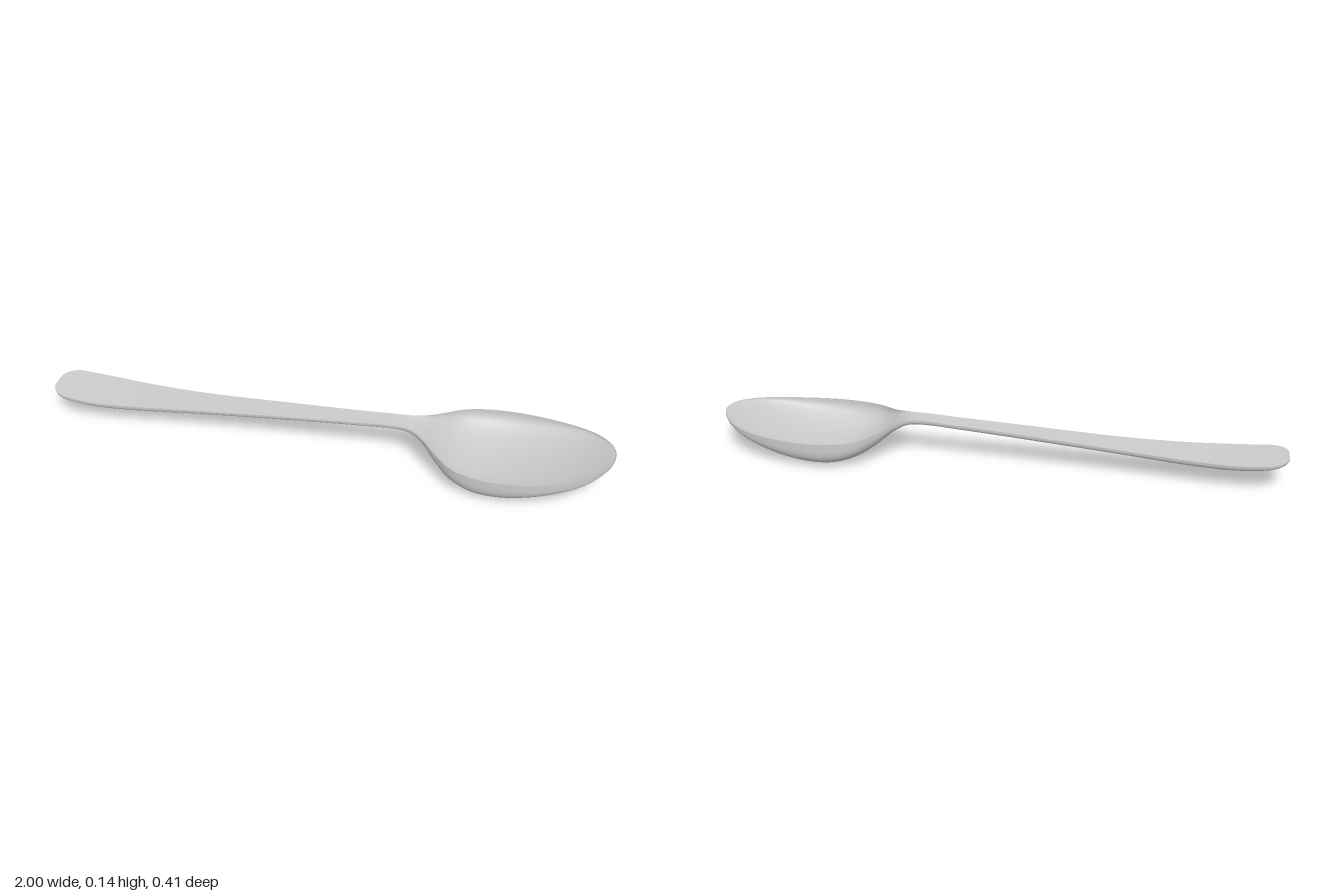
import * as THREE from 'three';

// Stations along the spoon: x, half width, rim height, centre height on top, centre height below, squareness
const STATIONS = [
  [-1.0, 0.0, 0.113, 0.113, 0.1, 3],
  [-1.0, 0.03, 0.113, 0.113, 0.099, 3],
  [-0.985, 0.061, 0.111, 0.111, 0.092, 3],
  [-0.955, 0.083, 0.107, 0.107, 0.083, 3],
  [-0.9, 0.089, 0.101, 0.101, 0.073, 3],
  [-0.8, 0.087, 0.096, 0.096, 0.065, 3],
  [-0.65, 0.073, 0.096, 0.096, 0.066, 3],
  [-0.42, 0.055, 0.105, 0.105, 0.08, 3],
  [-0.1, 0.043, 0.124, 0.124, 0.101, 3],
  [0.12, 0.037, 0.136, 0.136, 0.115, 3],
  [0.24, 0.036, 0.143, 0.142, 0.122, 3],
  [0.31, 0.043, 0.142, 0.137, 0.119, 3],
  [0.36, 0.072, 0.13, 0.112, 0.096, 3],
  [0.41, 0.121, 0.113, 0.073, 0.058, 3.2],
  [0.47, 0.171, 0.102, 0.036, 0.023, 3.5],
  [0.55, 0.198, 0.098, 0.013, 0.003, 4],
  [0.65, 0.204, 0.098, 0.012, 0.003, 4],
  [0.76, 0.191, 0.1, 0.031, 0.024, 4],
  [0.86, 0.163, 0.105, 0.061, 0.055, 4],
  [0.93, 0.125, 0.113, 0.09, 0.085, 4],
  [0.975, 0.077, 0.121, 0.112, 0.108, 4],
  [0.994, 0.038, 0.125, 0.122, 0.12, 4],
  [1.0, 0.0, 0.127, 0.127, 0.126, 4],
];
const ROWS = 176;
const COLS = 40;

// Smooth curves through the stations, three channels each
const curveOf = (k) => new THREE.CatmullRomCurve3(
  STATIONS.map((s) => new THREE.Vector3(s[k], s[k + 1], s[k + 2])), false, 'catmullrom', 0.5);
const outline = curveOf(0);
const depth = curveOf(3);

// One skin of the spoon, lofted from rim to rim
function skin(isTop) {
  const pos = [], index = [];
  for (let i = 0; i <= ROWS; i++) {
    const a = outline.getPoint(i / ROWS), b = depth.getPoint(i / ROWS);
    const x = THREE.MathUtils.clamp(a.x, -1, 1);
    const width = Math.max(a.y, 0);
    const centre = isTop ? b.x : b.y;
    const q = isTop ? 2.5 : b.z;
    for (let j = 0; j <= COLS; j++) {
      const t = (Math.PI * j) / COLS;
      const c = Math.cos(t);
      const z = width * Math.sign(c) * Math.pow(Math.abs(c), 2 / q);
      const drop = Math.pow(Math.max(Math.sin(t), 0), 2 / q);
      pos.push(x, a.z + (centre - a.z) * drop, z);
      if (i < ROWS && j < COLS) {
        const p = i * (COLS + 1) + j, r = p + COLS + 1;
        if (isTop) index.push(p, r, p + 1, r, r + 1, p + 1);
        else index.push(p, p + 1, r, r, p + 1, r + 1);
      }
    }
  }
  const geometry = new THREE.BufferGeometry();
  geometry.setAttribute('position', new THREE.Float32BufferAttribute(pos, 3));
  geometry.setIndex(index);
  geometry.computeVertexNormals();
  return geometry;
}

export function createModel() {
  const spoon = new THREE.Group();
  spoon.name = 'spoon';
  const material = new THREE.MeshStandardMaterial({ color: 0xcccccc, side: THREE.DoubleSide });

  // Upper face: flat handle top running into the hollow of the bowl
  const upper = new THREE.Mesh(skin(true), material);
  upper.name = 'upperFace';

  // Underside: rounded handle back and outer bowl
  const under = new THREE.Mesh(skin(false), material);
  under.name = 'underside';

  spoon.add(upper, under);
  return spoon;
}
